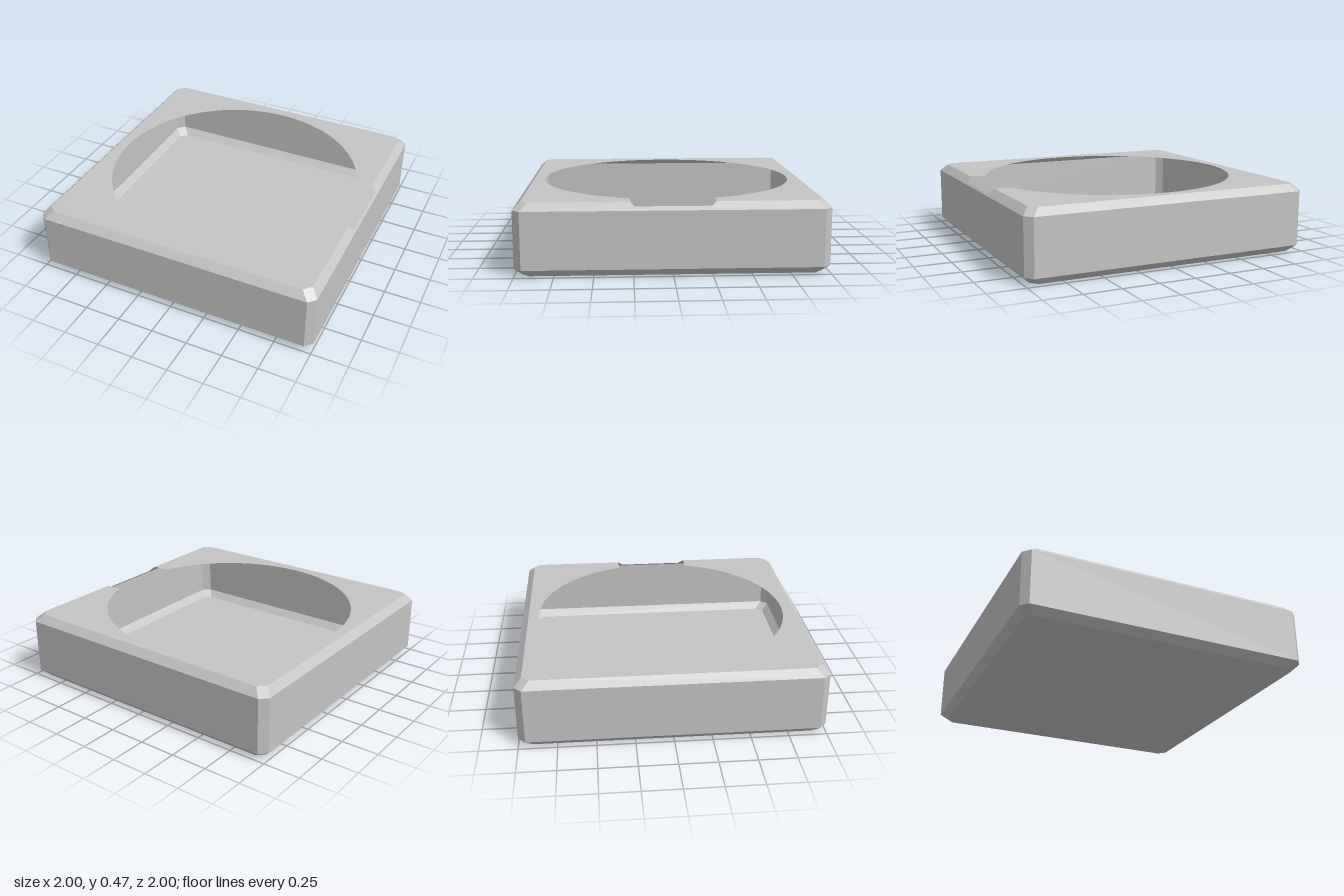
import * as THREE from 'three';

const HEIGHT = 0.47, BEVEL = 0.048;
const TOP = 1 - BEVEL;            // half width of the flat top and floor
const HOLE = 0.878, NOTCH = 0.268; // opening radius, notch half width

// Square of half width h with its corners cut, as [x, z] pairs; side 0 faces +x
function ring(h) {
  const k = h - BEVEL;
  return [[h, -k], [h, k], [k, h], [-k, h], [-h, k], [-h, -k], [-k, -h], [k, -h]];
}

// Band of flat quads between two rings, leaving out the first `skip` sides
function band(h0, y0, h1, y1, skip = 0) {
  const low = ring(h0), high = ring(h1), pos = [];
  for (let i = skip; i < 8; i++) {
    const j = (i + 1) % 8;
    const a = [low[i][0], y0, low[i][1]], b = [low[j][0], y0, low[j][1]];
    const c = [high[j][0], y1, high[j][1]], d = [high[i][0], y1, high[i][1]];
    pos.push(...a, ...d, ...c, ...a, ...c, ...b);
  }
  const geo = new THREE.BufferGeometry();
  geo.setAttribute('position', new THREE.Float32BufferAttribute(pos, 3));
  geo.computeVertexNormals();
  return geo;
}

function polygon(points) {
  return new THREE.Shape(points.map(([x, y]) => new THREE.Vector2(x, y)));
}

export function createModel() {
  const group = new THREE.Group();
  group.name = 'openTray';
  const grey = new THREE.MeshStandardMaterial({ color: 0xc4c4c4, side: THREE.DoubleSide });
  grey.name = 'grey';
  const add = (name, geo) => {
    const mesh = new THREE.Mesh(geo, grey);
    mesh.name = name;
    group.add(mesh);
  };

  // Thin shell: floor, lower bevel, upright walls, upper bevel
  add('floor', new THREE.ShapeGeometry(polygon(ring(TOP))).rotateX(Math.PI / 2));
  add('lowerBevel', band(TOP, 0, 1, BEVEL));
  add('walls', band(1, BEVEL, 1, HEIGHT - BEVEL));
  add('upperBevel', band(1, HEIGHT - BEVEL, TOP, HEIGHT, 1));

  // Bevel on the +x side, with the end of the notch cut into it
  const k = TOP - BEVEL, low = HEIGHT - BEVEL;
  const side = new THREE.ShapeGeometry(polygon([
    [-TOP, low], [TOP, low], [k, HEIGHT], [NOTCH, HEIGHT],
    [0.232, 0.435], [-0.232, 0.435], [-NOTCH, HEIGHT], [-k, HEIGHT],
  ])).rotateY(Math.PI / 2);
  const p = side.attributes.position;
  for (let i = 0; i < p.count; i++) p.setX(i, TOP + HEIGHT - p.getY(i));
  side.computeVertexNormals();
  add('notchedBevel', side);

  // Top plate with the round opening running out through the notch
  const outline = ring(TOP);
  const angle = Math.asin(NOTCH / HOLE);
  const top = new THREE.Shape();
  top.moveTo(TOP, NOTCH);
  for (let i = 1; i <= 8; i++) top.lineTo(...outline[i % 8]);
  top.lineTo(TOP, -NOTCH);
  top.lineTo(HOLE * Math.cos(angle), -NOTCH);
  top.absarc(0, 0, HOLE, -angle, angle, true);
  add('topPlate', new THREE.ShapeGeometry(top, 96).rotateX(-Math.PI / 2).translate(0, HEIGHT, 0));

  return group;
}
